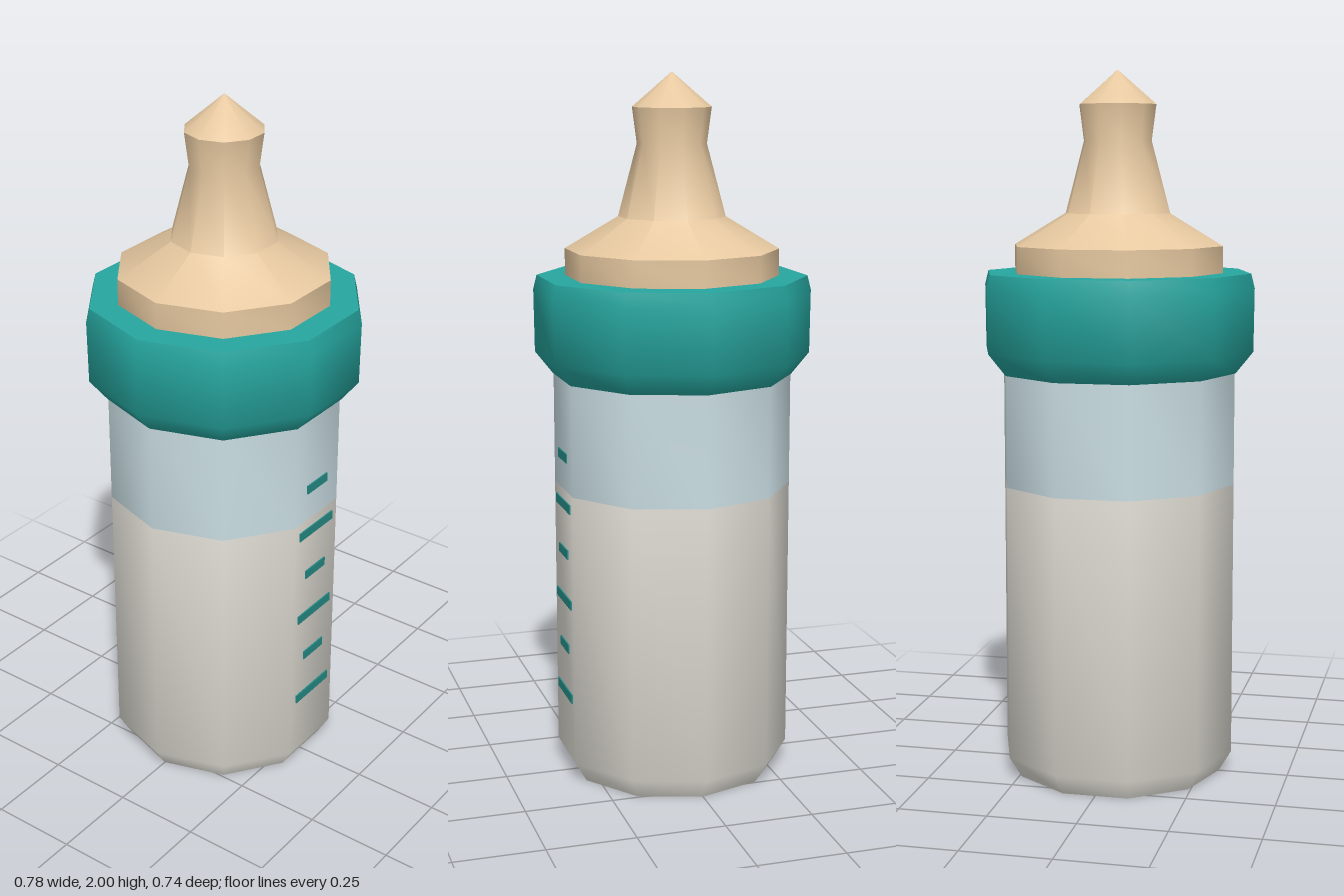
import * as THREE from 'three';
import { toCreasedNormals } from 'three/addons/utils/BufferGeometryUtils.js';

const SIDES = 10;

function material(name, color) {
  const m = new THREE.MeshStandardMaterial({ color });
  m.name = name;
  return m;
}

// Ten-sided turned part with a corner on +x and a flat side facing +z
function turned(name, profile, mat) {
  const points = profile.map(([r, y]) => new THREE.Vector2(r, y));
  const lathe = new THREE.LatheGeometry(points, SIDES, Math.PI / 2);
  const mesh = new THREE.Mesh(toCreasedNormals(lathe, THREE.MathUtils.degToRad(50)), mat);
  mesh.name = name;
  return mesh;
}

export function createModel() {
  const milk = material('milk white', 0xe6e3da);
  const glass = material('pale blue glass', 0xcadee4);
  const teal = material('teal', 0x26a69f);
  const darkTeal = material('dark teal', 0x248a85);
  const rubber = material('tan rubber', 0xe6c8a0);

  const bottle = new THREE.Group();
  bottle.name = 'babyBottle';

  // Body: filled lower part and empty upper part
  const radius = 0.336;
  bottle.add(turned('milkBody', [[0, 0], [0.3, 0], [radius, 0.06], [radius, 0.845]], milk));
  bottle.add(turned('emptyBody', [[radius, 0.845], [radius, 1.18]], glass));

  // Screw collar with bevelled rims
  bottle.add(turned('collar', [
    [0.3, 1.16], [0.338, 1.16], [0.388, 1.222], [0.39, 1.4], [0.38, 1.44], [0.28, 1.44],
  ], teal));

  // Teat with flange, neck and pointed tip
  bottle.add(turned('teat', [
    [0.3, 1.435], [0.3, 1.515], [0.15, 1.605], [0.097, 1.805], [0.11, 1.905], [0, 2],
  ], rubber));

  // Measuring marks, alternately long and short, on the flat front side
  const marks = new THREE.Group();
  marks.name = 'measuringMarks';
  const frontZ = radius * Math.cos(Math.PI / SIDES);
  for (let i = 0; i < 6; i++) {
    const width = i % 2 ? 0.095 : 0.16;
    const mark = new THREE.Mesh(new THREE.BoxGeometry(width, 0.026, 0.008), darkTeal);
    mark.name = i % 2 ? 'shortMark' : 'longMark';
    mark.position.set(0, 0.245 + i * 0.1396, frontZ);
    marks.add(mark);
  }
  bottle.add(marks);

  return bottle;
}
